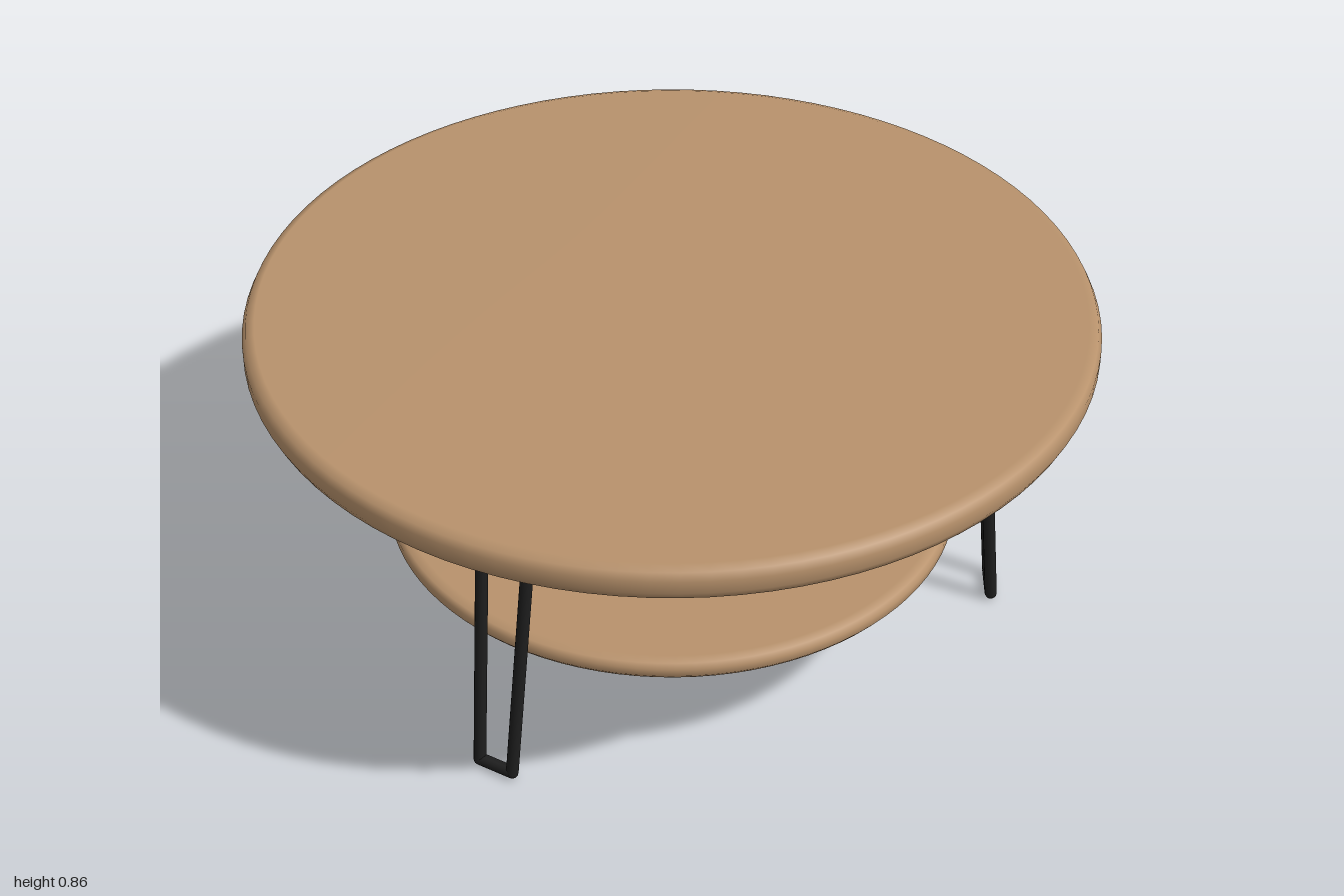
import * as THREE from 'three';

const wood = new THREE.MeshStandardMaterial({ color: 0xb8926c });
wood.name = 'wood';
const blackMetal = new THREE.MeshStandardMaterial({ color: 0x1e1e1e });
blackMetal.name = 'blackMetal';

const ROD = 0.015;

// Round board with softened edges
function board(name, radius, bottom, top, bevel) {
  const h = top - bottom;
  const profile = [
    [0, bottom],
    [radius - bevel, bottom],
    [radius - bevel * 0.3, bottom + h * 0.1],
    [radius, bottom + h * 0.32],
    [radius, top - h * 0.32],
    [radius - bevel * 0.3, top - h * 0.1],
    [radius - bevel, top],
    [0, top],
  ].map(([x, y]) => new THREE.Vector2(x, y));
  const mesh = new THREE.Mesh(new THREE.LatheGeometry(profile, 96), wood);
  mesh.name = name;
  return mesh;
}

// Round rod between two points
function rod(name, a, b) {
  const dir = b.clone().sub(a);
  const mesh = new THREE.Mesh(new THREE.CylinderGeometry(ROD, ROD, dir.length(), 12), blackMetal);
  mesh.position.copy(a).addScaledVector(dir, 0.5);
  mesh.quaternion.setFromUnitVectors(new THREE.Vector3(0, 1, 0), dir.normalize());
  mesh.name = name;
  return mesh;
}

// Hairpin leg: two rods that converge downward, joined by a foot bar
function hairpinLeg(name, angle) {
  const leg = new THREE.Group();
  leg.name = name;
  const side = new THREE.Vector3(-Math.sin(angle), 0, Math.cos(angle));
  const point = (r, a, y, offset) =>
    new THREE.Vector3(r * Math.cos(a), y, r * Math.sin(a)).addScaledVector(side, offset);
  const feet = [];
  for (const s of [-1, 1]) {
    const top = point(0.73, angle - 0.026, 0.785, s * 0.065);
    const foot = point(0.795, angle, ROD, s * 0.045);
    leg.add(rod('legRod', top, foot));
    const corner = new THREE.Mesh(new THREE.SphereGeometry(ROD, 12, 8), blackMetal);
    corner.position.copy(foot);
    corner.name = 'legCorner';
    leg.add(corner);
    feet.push(foot);
  }
  leg.add(rod('footBar', feet[0], feet[1]));
  return leg;
}

export function createModel() {
  const table = new THREE.Group();
  table.name = 'roundTable';
  table.add(board('tableTop', 1, 0.77, 0.855, 0.03));
  table.add(board('lowerShelf', 0.69, 0.28, 0.332, 0.03));

  // Three legs spaced evenly around the top
  const start = THREE.MathUtils.degToRad(99.3);
  ['frontLeg', 'backRightLeg', 'backLeftLeg'].forEach((name, i) => {
    table.add(hairpinLeg(name, start + (i * Math.PI * 2) / 3));
  });
  return table;
}
